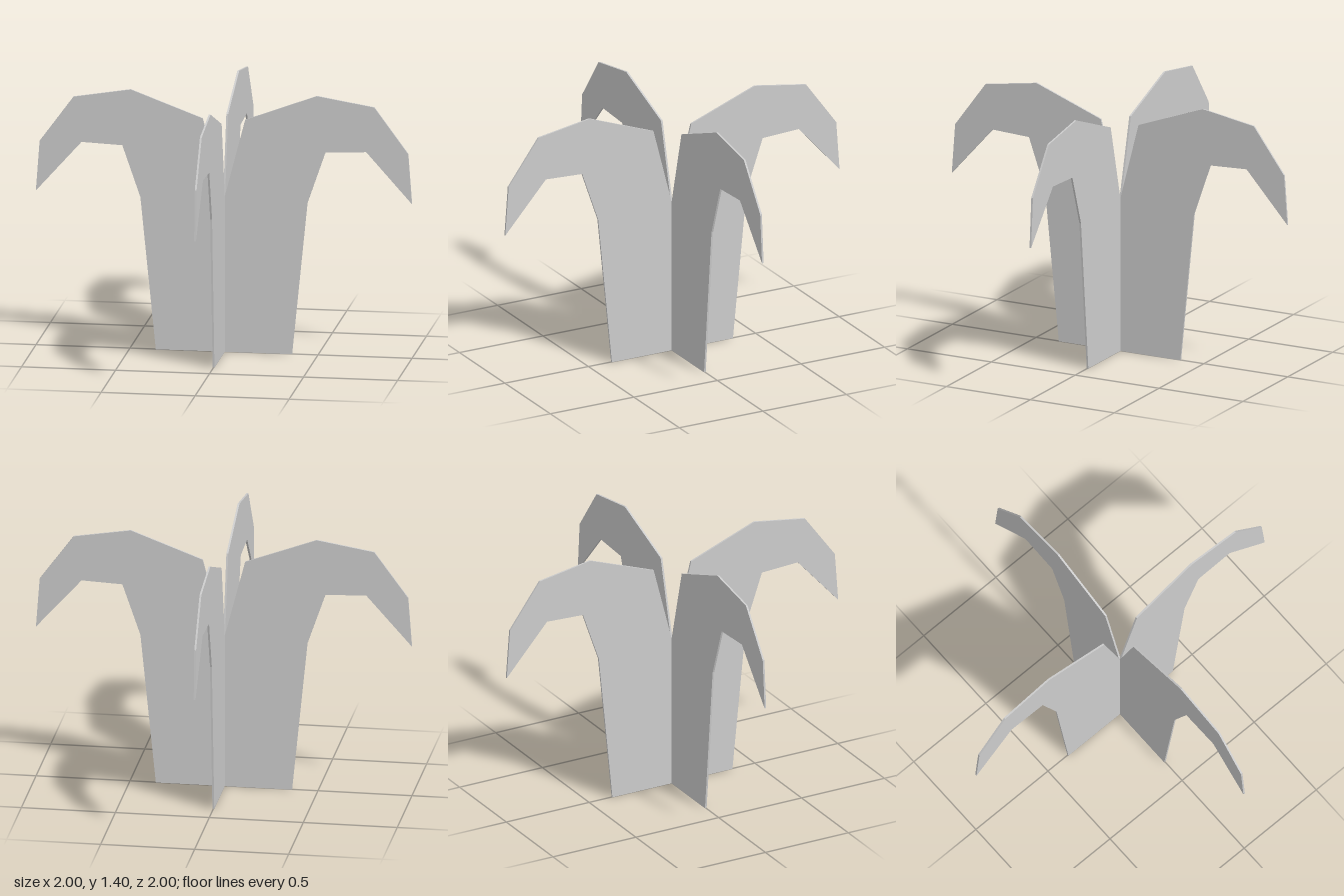
import * as THREE from 'three';

const THICKNESS = 0.01;

// Right half of the panel outline, from base corner round the drooping leaf to the notch
const HALF = [
  [0.362, 0], [0.444, 0.82], [0.54, 1.097], [0.757, 1.107], [1, 0.835],
  [0.98, 1.105], [0.8, 1.35], [0.495, 1.4], [0.113, 1.258],
];
const NOTCH = [0, 0.82];

function panelGeometry() {
  const mirrored = HALF.map(([x, y]) => [-x, y]).reverse();
  const outline = [...HALF, NOTCH, ...mirrored];
  const shape = new THREE.Shape(outline.map(([x, y]) => new THREE.Vector2(x, y)));
  const geometry = new THREE.ExtrudeGeometry(shape, { depth: THICKNESS, bevelEnabled: false });
  return geometry.translate(0, 0, -THICKNESS / 2);
}

export function createModel() {
  const model = new THREE.Group();
  model.name = 'crossedLeafPlant';
  const material = new THREE.MeshStandardMaterial({ color: 0xcccccc, flatShading: true });
  const geometry = panelGeometry();

  // Two identical flat panels crossing at right angles
  ['sidewaysLeafPanel', 'frontToBackLeafPanel'].forEach((name, i) => {
    const panel = new THREE.Mesh(geometry, material);
    panel.name = name;
    panel.rotation.y = i * Math.PI / 2;
    model.add(panel);
  });
  return model;
}
